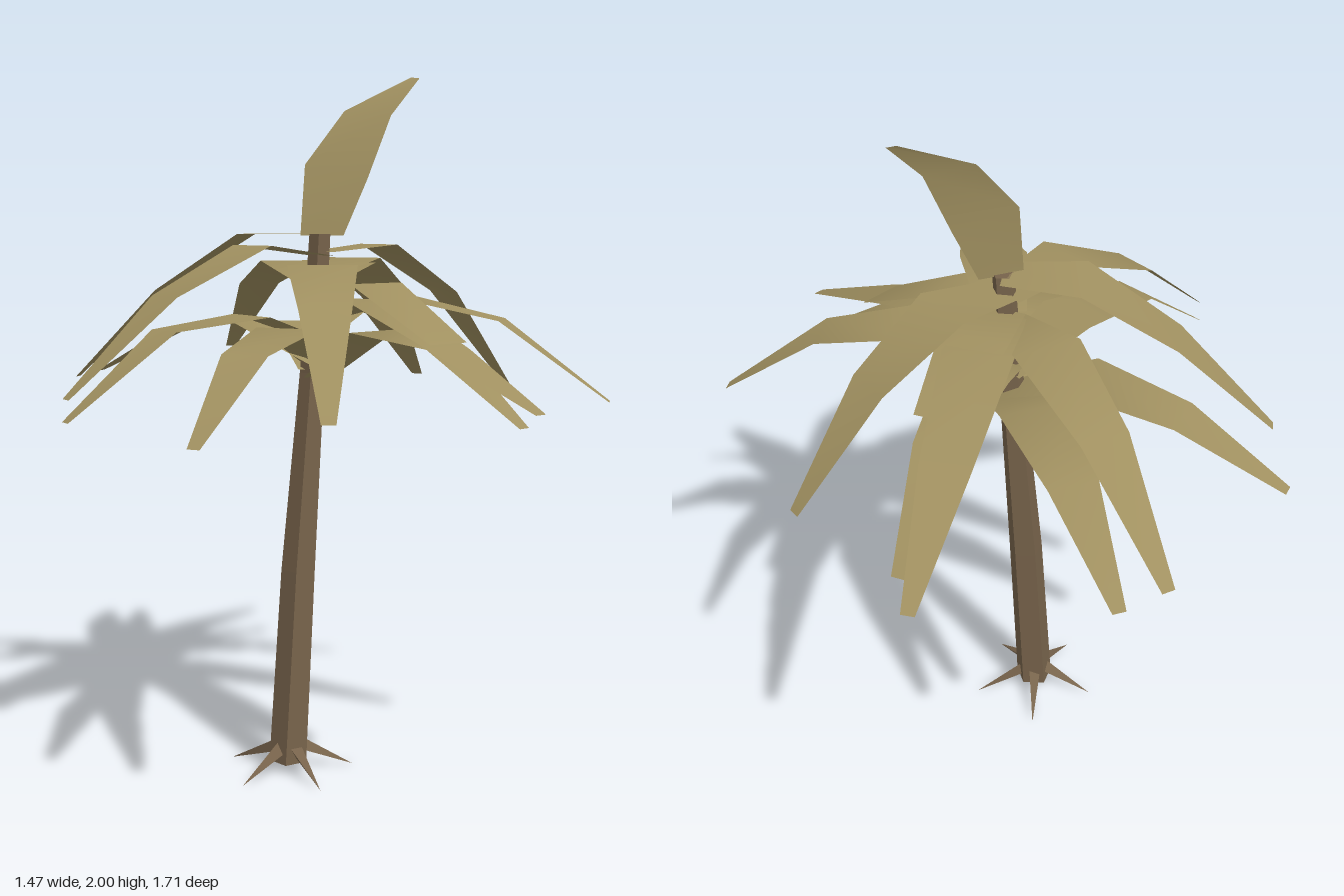
import * as THREE from 'three';

const leafMat = new THREE.MeshStandardMaterial({ color: 0xa09060, side: THREE.DoubleSide });
leafMat.name = 'dry leaf';
const barkMat = new THREE.MeshStandardMaterial({ color: 0x77634b, flatShading: true });
barkMat.name = 'bark';

// Smooth strip through pairs of [left, right] points
function strip(pairs) {
  const index = [];
  for (let i = 0; i < pairs.length - 1; i++) {
    const a = i * 2;
    index.push(a, a + 1, a + 3, a, a + 3, a + 2);
  }
  const geo = new THREE.BufferGeometry();
  geo.setAttribute('position', new THREE.Float32BufferAttribute(pairs.flat(2), 3));
  geo.setIndex(index);
  geo.computeVertexNormals();
  return geo;
}

function add(group, name, geo, mat) {
  const mesh = new THREE.Mesh(geo, mat);
  mesh.name = name;
  group.add(mesh);
  return mesh;
}

// Drooping frond from the crown centre; ys are heights at base, hinge, middle, tip
const CX = 0.05, CZ = 0.02;
function frond(tx, tz, ys) {
  const dx = tx - CX, dz = tz - CZ, len = Math.hypot(dx, dz);
  const px = -dz / len, pz = dx / len;
  const along = [0, 0.29, 0.635, 1], width = [0.125, 0.187, 0.132, 0.035];
  return strip(ys.map((y, i) => {
    const x = CX + dx * along[i], z = CZ + dz * along[i], w = width[i] / 2;
    return [[x - px * w, y, z - pz * w], [x + px * w, y, z + pz * w]];
  }));
}

// Tip x, tip z, heights along the frond (three heights make a broken, shorter frond)
const FRONDS = [
  // top tier
  [-0.735, 0.12, [1.50, 1.53, 1.40, 1.15]],
  [-0.495, -0.48, [1.56, 1.56, 1.40, 1.14]],
  [0.73, -0.02, [1.51, 1.53, 1.39, 1.10]],
  // middle tier
  [0.725, -0.585, [1.43, 1.48, 1.36, 1.19]],
  [0.18, -0.85, [1.42, 1.48, 1.40, 1.175]],
  [-0.335, 0.76, [1.44, 1.48, 1.38, 1.14]],
  [0.21, 0.80, [1.39, 1.43, 1.285]],
  [0.63, -0.39, [1.45, 1.49, 1.40]],
  // lower tiers
  [0.63, 0.58, [1.33, 1.39, 1.33, 1.115]],
  [0.19, 0.85, [1.32, 1.38, 1.27, 1.14]],
  [-0.735, 0.11, [1.26, 1.34, 1.31, 1.09]],
  [0.635, -0.38, [1.29, 1.37, 1.31, 1.10]],
  [0.30, -0.82, [1.18, 1.30, 1.28, 1.15]],
  [-0.345, -0.70, [1.20, 1.31, 1.27, 1.13]],
  [-0.545, 0.48, [1.20, 1.31, 1.26, 1.06]],
  [0.23, 0.735, [1.16, 1.30, 1.27, 1.09]],
];

// Leaning five-sided trunk; each ring is [x, y, z, radius]
function trunkGeometry() {
  const rings = [
    [-0.04, 0.03, -0.003, 0.057],
    [-0.006, 0.6, -0.003, 0.051],
    [0.037, 1.17, 0, 0.037],
    [0.05, 1.56, 0.02, 0.031],
  ];
  const geo = new THREE.CylinderGeometry(1, 1, 3, 5, 3, false, Math.PI);
  const p = geo.attributes.position;
  for (let i = 0; i < p.count; i++) {
    const [x, y, z, r] = rings[Math.round(p.getY(i) + 1.5)];
    p.setXYZ(i, x + p.getX(i) * r, y, z + p.getZ(i) * r);
  }
  geo.computeVertexNormals();
  return geo;
}

export function createModel() {
  const model = new THREE.Group();
  model.name = 'palmTree';

  add(model, 'trunk', trunkGeometry(), barkMat);

  // Pointed roots around the foot
  const up = new THREE.Vector3(0, 1, 0);
  for (let i = 0; i < 5; i++) {
    const a = Math.PI / 2 + i * Math.PI * 2 / 5;
    const at = (r, y) => new THREE.Vector3(-0.038 + Math.cos(a) * r, y, -0.003 + Math.sin(a) * r);
    const from = at(0.025, 0.075), to = at(0.19, 0.002);
    const dir = to.clone().sub(from);
    const root = add(model, 'root', new THREE.ConeGeometry(0.023, dir.length(), 3), barkMat);
    root.position.copy(from).add(to).multiplyScalar(0.5);
    root.quaternion.setFromUnitVectors(up, dir.normalize());
  }

  // Crown of drooping fronds
  const crown = new THREE.Group();
  crown.name = 'crown';
  model.add(crown);
  for (const [x, z, ys] of FRONDS) add(crown, 'frond', frond(x, z, ys), leafMat);

  // Young leaf standing upright
  add(crown, 'uprightLeaf', strip([
    [[-0.005, 1.555, 0.005], [0.115, 1.555, 0.037]],
    [[0.012, 1.75, 0], [0.185, 1.71, 0.047]],
    [[0.135, 1.9, 0.005], [0.265, 1.89, 0.042]],
    [[0.345, 2, 0.018], [0.368, 1.998, 0.027]],
  ]), leafMat);

  return model;
}
